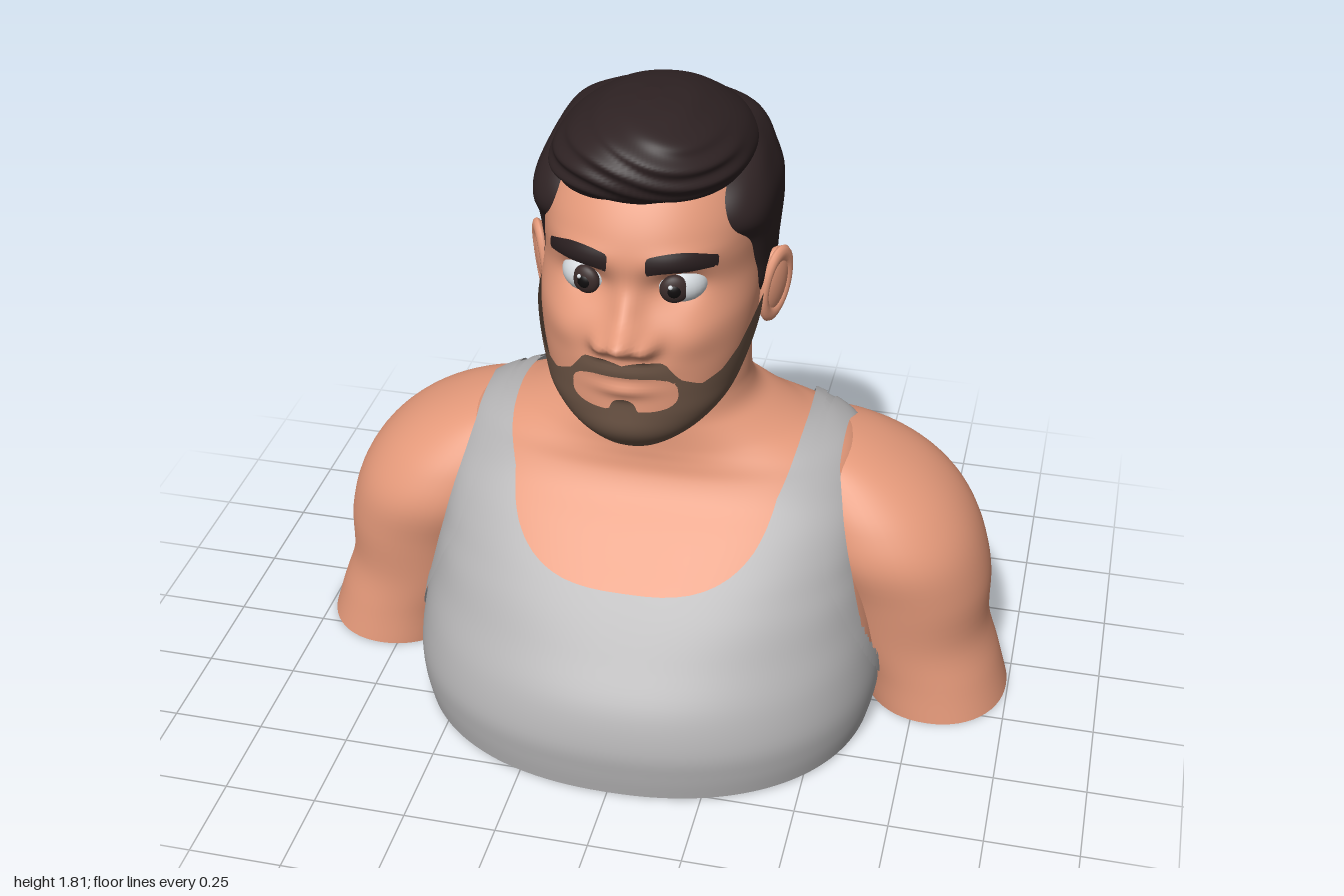
import * as THREE from 'three';

const mat = (name, color, side = THREE.FrontSide) => {
  const m = new THREE.MeshStandardMaterial({ color, side });
  m.name = name;
  return m;
};

// Smooth interpolation through the rows of a table
const spline = (a, b, c, d, t) => 0.5 * (2 * b + (c - a) * t + (2 * a - 5 * b + 4 * c - d) * t * t
  + (3 * b - a - 3 * c + d) * t * t * t);

// Loft of rounded cross-sections. Row: [y, half width, front z, back z, front roundness, back roundness, centre x]
function loft(table, cols, steps, deform) {
  const pos = [], idx = [], rings = (table.length - 1) * steps + 1;
  const row = (i) => table[Math.max(0, Math.min(table.length - 1, i))];
  const get = (i, t, k, def) => spline(...[-1, 0, 1, 2].map((o) => row(i + o)[k] ?? def), t);
  for (let r = 0; r < rings; r++) {
    const i = Math.min(Math.floor(r / steps), table.length - 2), t = r / steps - i;
    const [y, w, zf, zb] = [0, 1, 2, 3].map((k) => get(i, t, k, 0));
    const nf = get(i, t, 4, 2), nb = get(i, t, 5, 2), cx = get(i, t, 6, 0);
    for (let j = 0; j < cols; j++) {
      const a = (j / cols) * Math.PI * 2, c = Math.cos(a), s = Math.sin(a), e = 2 / (s > 0 ? nf : nb);
      const p = new THREE.Vector3(
        cx + w * Math.sign(c) * Math.abs(c) ** e, y,
        (zf + zb) / 2 + ((zf - zb) / 2) * Math.sign(s) * Math.abs(s) ** e);
      if (deform) deform(p);
      pos.push(p.x, p.y, p.z);
    }
  }
  for (let r = 0; r < rings - 1; r++) for (let j = 0; j < cols; j++) {
    const a = r * cols + j, c = r * cols + (j + 1) % cols;
    idx.push(a, a + cols, c, a + cols, c + cols, c);
  }
  // Separate cap vertices keep the end edges sharp
  for (const top of [false, true]) {
    const ring = (top ? rings - 1 : 0) * cols, base = pos.length / 3, mid = new THREE.Vector3();
    for (let j = 0; j < cols; j++) {
      const p = pos.slice((ring + j) * 3, (ring + j) * 3 + 3);
      pos.push(...p);
      mid.add(new THREE.Vector3(...p).divideScalar(cols));
    }
    pos.push(mid.x, mid.y, mid.z);
    for (let j = 0; j < cols; j++) {
      const a = base + j, b = base + (j + 1) % cols;
      idx.push(base + cols, top ? b : a, top ? a : b);
    }
  }
  const g = new THREE.BufferGeometry();
  g.setAttribute('position', new THREE.Float32BufferAttribute(pos, 3));
  g.setIndex(idx);
  g.computeVertexNormals();
  return g;
}

// Layer over the part of a surface where f > 0, trimmed cleanly and lifted along the normals
function shell(geo, f, lift) {
  const P = geo.attributes.position, N = geo.attributes.normal, I = geo.index.array, out = [], nor = [];
  const verts = Array.from({ length: P.count }, (_, i) => {
    const p = new THREE.Vector3().fromBufferAttribute(P, i);
    return { p, n: new THREE.Vector3().fromBufferAttribute(N, i), d: f(p) };
  });
  const emit = (v) => {
    out.push(v.p.x + v.n.x * lift, v.p.y + v.n.y * lift, v.p.z + v.n.z * lift);
    nor.push(v.n.x, v.n.y, v.n.z);
  };
  for (let i = 0; i < I.length; i += 3) {
    const poly = [];
    for (let k = 0; k < 3; k++) {
      const a = verts[I[i + k]], b = verts[I[i + (k + 1) % 3]];
      if (a.d > 0) poly.push(a);
      if ((a.d > 0) !== (b.d > 0)) {
        const t = a.d / (a.d - b.d);
        poly.push({ p: a.p.clone().lerp(b.p, t), n: a.n.clone().lerp(b.n, t).normalize() });
      }
    }
    for (let k = 1; k + 1 < poly.length; k++) [poly[0], poly[k], poly[k + 1]].forEach(emit);
  }
  const g = new THREE.BufferGeometry();
  g.setAttribute('position', new THREE.Float32BufferAttribute(out, 3));
  g.setAttribute('normal', new THREE.Float32BufferAttribute(nor, 3));
  return g;
}

const torsoRows = [
  [0.01, 0.62, 0.54, -0.525, 2.2, 2.6], [0.08, 0.635, 0.55, -0.54, 2.2, 2.6], [0.16, 0.638, 0.553, -0.55, 2.2, 2.6],
  [0.26, 0.628, 0.52, -0.555, 2.2, 2.6], [0.36, 0.612, 0.445, -0.55, 2.3, 2.6], [0.44, 0.597, 0.38, -0.545, 2.5, 2.7],
  [0.5, 0.587, 0.325, -0.53, 2.6, 2.8], [0.56, 0.58, 0.262, -0.51, 2.8, 2.8], [0.62, 0.572, 0.2, -0.485, 2.9, 2.8],
  [0.68, 0.56, 0.135, -0.46, 2.9, 2.7], [0.73, 0.545, 0.1, -0.44, 2.7, 2.5], [0.77, 0.52, 0.09, -0.425, 2.3, 2.3],
  [0.8, 0.47, 0.088, -0.41], [0.825, 0.395, 0.087, -0.395], [0.865, 0.315, 0.087, -0.38],
  [0.9, 0.265, 0.087, -0.36], [0.95, 0.244, 0.087, -0.335], [1.02, 0.24, 0.085, -0.315], [1.2, 0.236, 0.07, -0.3],
];
const armRows = [
  [0, 0.2, 0.067, -0.38], [0.1, 0.2, 0.06, -0.385], [0.22, 0.212, 0.062, -0.4], [0.37, 0.23, 0.08, -0.425],
  [0.5, 0.245, 0.095, -0.445], [0.6, 0.235, 0.065, -0.44], [0.68, 0.205, 0.015, -0.41], [0.74, 0.15, -0.04, -0.36],
  [0.78, 0.08, -0.12, -0.3],
];
const armCentres = [0.795, 0.765, 0.715, 0.69, 0.64, 0.59, 0.53, 0.47, 0.42];
const headRows = [
  [0.925, 0.045, 0.22, 0.09], [0.95, 0.1, 0.27, 0.05], [1, 0.168, 0.307, -0.02], [1.06, 0.222, 0.317, -0.1],
  [1.12, 0.25, 0.32, -0.2], [1.2, 0.271, 0.32, -0.28], [1.29, 0.28, 0.31, -0.32], [1.38, 0.276, 0.272, -0.34],
  [1.46, 0.275, 0.28, -0.36], [1.54, 0.268, 0.255, -0.36], [1.62, 0.235, 0.2, -0.32], [1.67, 0.2, 0.13, -0.28],
  [1.72, 0.12, 0.05, -0.2],
].map((r) => [...r, 2.2, 2.2]);
const sideHairRows = [
  [1.06, 0.14, -0.25, -0.31], [1.1, 0.2, -0.2, -0.325], [1.19, 0.266, -0.11, -0.335], [1.28, 0.293, 0.075, -0.35],
  [1.36, 0.298, 0.085, -0.37], [1.45, 0.306, 0.11, -0.395], [1.51, 0.31, 0.155, -0.397], [1.56, 0.306, 0.15, -0.388],
  [1.61, 0.288, 0.11, -0.365], [1.66, 0.262, 0.02, -0.335], [1.7, 0.225, -0.03, -0.3], [1.74, 0.15, -0.06, -0.24],
].map((r) => [...r, 4, 2.2]);
const topHairRows = [
  [1.58, 0.2, 0.17, -0.25], [1.61, 0.235, 0.23, -0.3], [1.65, 0.255, 0.272, -0.33], [1.7, 0.236, 0.285, -0.3],
  [1.74, 0.2, 0.272, -0.25], [1.775, 0.15, 0.23, -0.19], [1.8, 0.1, 0.16, -0.1], [1.812, 0.03, 0.08, 0],
].map((r) => [...r, 2.3, 2.2]);

// Face relief: [x, y, spread x, spread y, depth]; off-centre ones are mirrored
const relief = [
  [0, 1.28, 0.048, 0.036, 0.074], [0, 1.345, 0.036, 0.06, 0.035], [0.06, 1.265, 0.027, 0.026, 0.038],
  [0.115, 1.395, 0.06, 0.045, -0.035], [0.13, 1.475, 0.08, 0.025, 0.012], [0.17, 1.27, 0.06, 0.05, 0.012],
  [0, 1.195, 0.09, 0.03, 0.014], [0, 1.135, 0.07, 0.02, 0.014], [0, 1.02, 0.09, 0.05, 0.01],
];
function sculptFace(p) {
  if (p.z < 0.08) return;
  const { x, y } = p;
  for (const [cx, cy, sx, sy, d] of relief) for (const s of cx ? [-1, 1] : [1]) {
    p.z += d * Math.exp(-(((x - s * cx) / sx) ** 2) - ((y - cy) / sy) ** 2);
  }
}

// Tank top openings
const neckline = (p) => {
  const low = p.z > -0.15 ? 0.5 : 0.6, wide = 0.36 + 0.28 * Math.max(0, p.y - 0.7);
  return (Math.abs(p.x) / wide) ** 3 + Math.max(0, (0.8 - p.y) / (0.8 - low)) ** 3 - 1;
};
const armhole = (p) => {
  const edge = 0.495 + 0.24 * Math.max(0, 0.75 - p.y);
  return Math.max(((p.z + 0.15) / 0.29) ** 2 + ((p.y - 0.45) / 0.34) ** 2 - 1, (edge - Math.abs(p.x)) * 5);
};
const tankArea = (p) => Math.min(neckline(p), armhole(p));
const trimArea = (p) => Math.min(tankArea(p), 0.27 - tankArea(p));

// Beard: upper edge by distance from the middle, with an opening round the mouth
const beardEdge = [[0, 1.215], [0.05, 1.235], [0.1, 1.22], [0.135, 1.17], [0.18, 1.145], [0.22, 1.165], [0.25, 1.205], [0.27, 1.25], [0.3, 1.32]];
function beardArea(p) {
  const ax = Math.min(Math.abs(p.x), 0.299), i = beardEdge.findIndex((e) => e[0] > ax);
  const [a, b] = [beardEdge[i - 1], beardEdge[i]];
  const edge = a[1] + ((b[1] - a[1]) * (ax - a[0])) / (b[0] - a[0]);
  const mouth = (ax / 0.13) ** 3 + (Math.abs(p.y - 1.13) / 0.053) ** 3 - 1;
  const chinTuft = 1 - (p.x / 0.035) ** 2 - ((p.y - 1.07) / 0.05) ** 2;
  return Math.min((edge - p.y) * 10, (p.z + 0.03) * 10, Math.max(mouth, chinTuft));
}
const browArea = (p) => {
  const ax = Math.abs(p.x), mid = 1.478 - 2 * (ax - 0.12) ** 2;
  const half = 0.02 - 0.09 * Math.max(0, ax - 0.14);
  return p.z < 0 ? -1 : Math.min(half - Math.abs(p.y - mid), 0.078 - Math.abs(ax - 0.125));
};

export function createModel() {
  const skin = mat('skin', 0xe4997a), hair = mat('dark hair', 0x2e2223);
  const beard = mat('beard', 0x695243, THREE.DoubleSide), brow = mat('brow', 0x2a1f20, THREE.DoubleSide);
  const cloth = mat('grey cloth', 0xb3b2b3, THREE.DoubleSide);
  const white = mat('eye white', 0xd5dade), iris = mat('iris', 0x3a2b2a), pupil = mat('pupil', 0x100d0e);
  const model = new THREE.Group();
  const add = (name, geo, m, parent = model) => {
    const mesh = new THREE.Mesh(geo, m);
    mesh.name = name;
    parent.add(mesh);
    return mesh;
  };
  const ball = (name, m, parent, [x, y, z], [rx, ry, rz], cap = Math.PI) => {
    const mesh = add(name, new THREE.SphereGeometry(1, 28, 18, 0, Math.PI * 2, 0, cap), m, parent);
    mesh.position.set(x, y, z);
    mesh.scale.set(rx, ry, rz);
    return mesh;
  };

  // Body and clothing, with a shallow groove along the spine
  const torso = loft(torsoRows, 128, 5, (p) => {
    const fade = 1 - THREE.MathUtils.smoothstep(p.y, 0.5, 0.85);
    if (p.z < -0.2) p.z += 0.015 * fade * Math.exp(-((p.x / 0.09) ** 2));
  });
  add('torsoAndNeck', shell(torso, (p) => 0.4 - tankArea(p), 0), skin);
  add('tankTop', shell(torso, tankArea, 0.01), cloth);
  add('tankTrim', shell(torso, trimArea, 0.015), cloth);
  for (const s of [-1, 1]) {
    const rows = armRows.map((r, i) => [...r, 2.1, 2.1, s * armCentres[i]]);
    add(s > 0 ? 'leftArm' : 'rightArm', loft(rows, 56, 5), skin);
  }

  // Head with beard and brows following its surface
  const head = loft(headRows, 160, 8, sculptFace);
  add('head', head, skin);
  add('beard', shell(head, beardArea, 0.01), beard);
  add('eyebrows', shell(head, browArea, 0.012), brow);

  // Hair: cropped sides and back, and a combed top with fine strands
  add('sideHair', loft(sideHairRows, 96, 5), hair);
  add('topHair', loft(topHairRows, 128, 9, (p) => {
    const front = THREE.MathUtils.smoothstep(p.z, 0, 0.2);
    const k = 1 + 0.02 * front * Math.sin(p.y * 130 + p.x * 28 + 2 * Math.sin(p.x * 14));
    p.x *= k;
    p.z *= k;
    p.y += 0.05 * p.x;
  }), hair);

  for (const s of [-1, 1]) {
    const side = s > 0 ? 'left' : 'right';
    // Eye, turned outwards to follow the face
    const eye = new THREE.Group();
    eye.name = side + 'Eye';
    eye.position.set(s * 0.117, 1.395, 0.196);
    eye.rotation.y = s * 0.3;
    model.add(eye);
    ball('eyeball', white, eye, [0, 0, 0], [0.068, 0.054, 0.06]);
    ball('iris', iris, eye, [-s * 0.019, 0, 0.045], [0.038, 0.038, 0.02]);
    ball('pupil', pupil, eye, [-s * 0.021, 0, 0.051], [0.023, 0.023, 0.017]);
    ball('glint', white, eye, [-s * 0.021 - 0.01, 0.013, 0.062], [0.006, 0.006, 0.006]);
    ball('lashLine', brow, eye, [0, 0, 0], [0.071, 0.057, 0.064], 0.76);
    ball('upperLid', skin, eye, [0, 0, 0], [0.074, 0.06, 0.068], 0.66);
    ball('lowerLid', skin, eye, [0, 0, 0], [0.071, 0.057, 0.064], 0.55).rotation.z = Math.PI;
    // Ear with a raised rim, flaring towards the back
    const ear = new THREE.Group();
    ear.name = side + 'Ear';
    ear.position.set(s * 0.298, 1.272, -0.065);
    ear.rotation.set(-0.12, -s * 0.45, -s * 0.14);
    model.add(ear);
    ball('earBody', skin, ear, [0, 0, 0], [0.03, 0.1, 0.056]);
    const rim = add('earRim', new THREE.TorusGeometry(0.048, 0.013, 10, 32), skin, ear);
    rim.position.x = s * 0.014;
    rim.rotation.y = Math.PI / 2;
    rim.scale.set(1, 1.8, 1);
  }
  return model;
}
